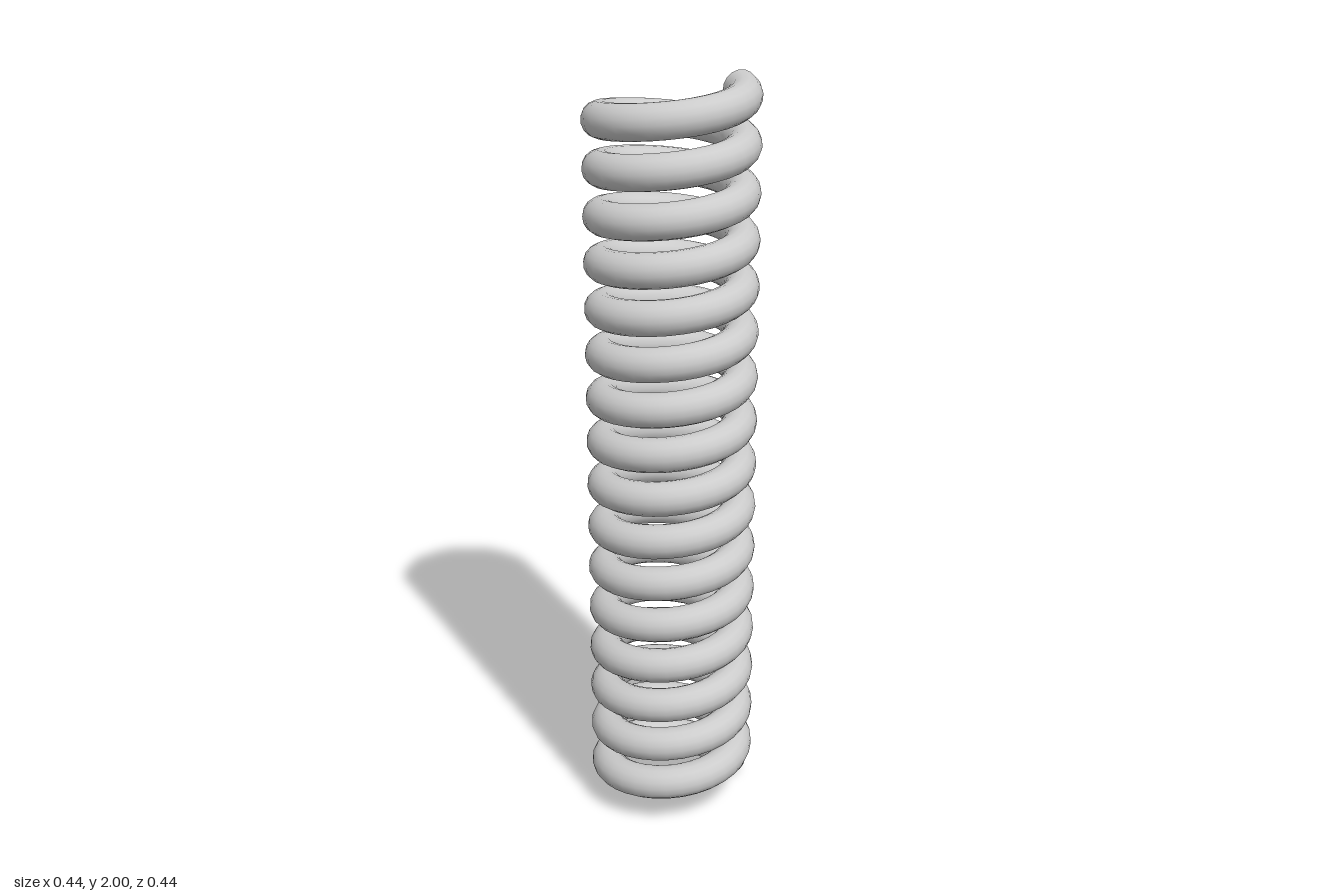
import * as THREE from 'three';

const TURNS = 16;
const COIL_RADIUS = 0.177;
const WIRE_RADIUS = 0.045;
const HEIGHT = 2;

// Centre line of the wire: a helix that starts and ends on +x and climbs by way of the back
class Helix extends THREE.Curve {
  getPoint(t, target = new THREE.Vector3()) {
    const a = t * TURNS * Math.PI * 2;
    return target.set(
      COIL_RADIUS * Math.cos(a),
      WIRE_RADIUS + t * (HEIGHT - 2 * WIRE_RADIUS),
      -COIL_RADIUS * Math.sin(a)
    );
  }
}

export function createModel() {
  const group = new THREE.Group();
  group.name = 'coilSpring';

  // Round wire with open ends
  const wire = new THREE.Mesh(
    new THREE.TubeGeometry(new Helix(), TURNS * 32, WIRE_RADIUS, 16, false),
    new THREE.MeshStandardMaterial({ color: 0xcccccc, side: THREE.DoubleSide })
  );
  wire.name = 'springWire';
  group.add(wire);

  return group;
}
